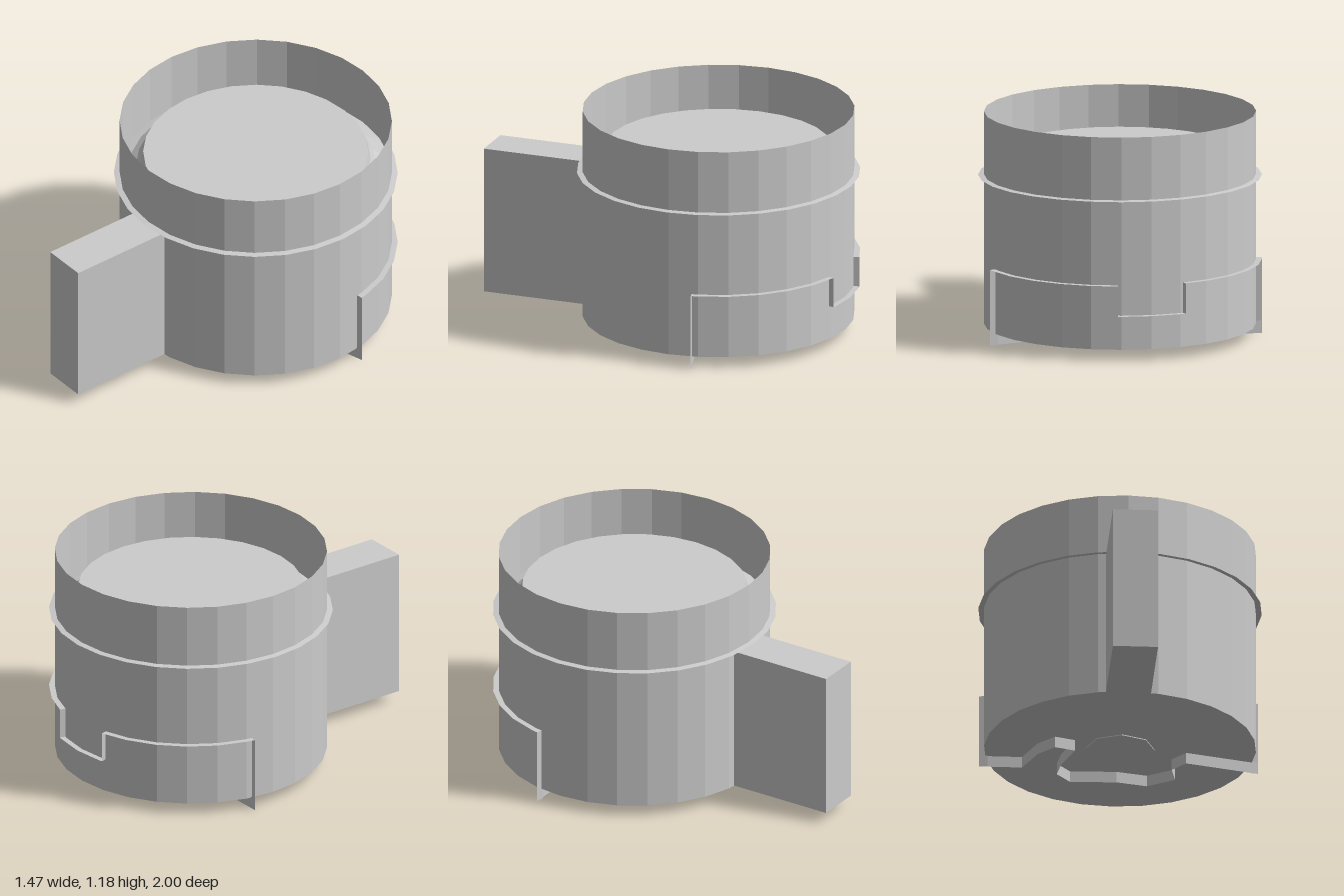
import * as THREE from 'three';

const SIDES = 28;
const CENTRE_Z = -0.26;

export function createModel() {
  const model = new THREE.Group();
  const cup = new THREE.Group();
  cup.name = 'cup';
  cup.position.z = CENTRE_Z;
  model.add(cup);
  const material = new THREE.MeshStandardMaterial({
    color: 0xcccccc, flatShading: true, side: THREE.DoubleSide,
  });

  const add = (name, geometry, parent = cup) => {
    const mesh = new THREE.Mesh(geometry, material);
    mesh.name = name;
    parent.add(mesh);
    return mesh;
  };
  const lathe = (points) =>
    new THREE.LatheGeometry(points.map(([r, y]) => new THREE.Vector2(r, y)), SIDES);

  // Open strip between two matching rows of points
  const ribbon = (rowA, rowB) => {
    const position = [];
    for (let i = 0; i + 1 < rowA.length; i++) {
      const [a, b, c, d] = [rowA[i], rowA[i + 1], rowB[i + 1], rowB[i]];
      position.push(...a, ...b, ...c, ...a, ...c, ...d);
    }
    const geometry = new THREE.BufferGeometry();
    geometry.setAttribute('position', new THREE.Float32BufferAttribute(position, 3));
    geometry.computeVertexNormals();
    return geometry;
  };

  // Thin outer wall with a closed underside
  add('wall', lathe([[0, 0.06], [0.705, 0.06], [0.705, 1.18]]));

  // Raised inner floor flaring out to the thin lip around the wall
  add('innerFloor', lathe([
    [0.735, 0.845], [0.705, 0.849], [0.66, 0.862], [0.62, 0.893], [0.595, 0.93], [0.583, 0.98], [0, 0.98],
  ]));

  // Block handle
  const handle = add('handle', new THREE.BoxGeometry(0.234, 0.78, 0.58), model);
  handle.position.set(0, 0.45, 0.71);

  // Small disc under the base
  const disc = add('baseDisc', new THREE.CylinderGeometry(0.18, 0.18, 0.01, 8));
  disc.position.y = 0.06;

  // Stepped seam fin: up the side, round the back and down into a notch
  const step = 360 / SIDES;
  const half = [[79.8, 0], [79.8, 0.4]];
  for (let k = 6; k >= 2; k--) half.push([k * step, 0.4]);
  half.push([14.2, 0.4], [14.2, 0.24], [step, 0.24]);
  const seam = [...half, [0, 0.24], ...half.map(([a, y]) => [-a, y]).reverse()];
  const row = (radius) => seam.map(([angle, y]) => {
    const a = THREE.MathUtils.degToRad(angle);
    return [radius * Math.sin(a), y, -radius * Math.cos(a)];
  });
  add('sideSeam', ribbon(row(0.69), row(0.735)));

  // Interlocking seam wall standing below the base
  const path = [
    [0.722, -0.39], [0.345, -0.285], [0.275, -0.37], [0.3, -0.49], [0.16, -0.578], [0, -0.54],
    [-0.24, -0.55], [-0.315, -0.46], [-0.3, -0.34], [-0.24, -0.165], [-0.345, -0.13],
    [-0.43, -0.22], [-0.5, -0.39], [-0.722, -0.39],
  ];
  const level = (y) => path.map(([x, z]) => [x, y, z]);
  add('baseSeam', ribbon(level(0), level(0.065)), model);

  return model;
}
